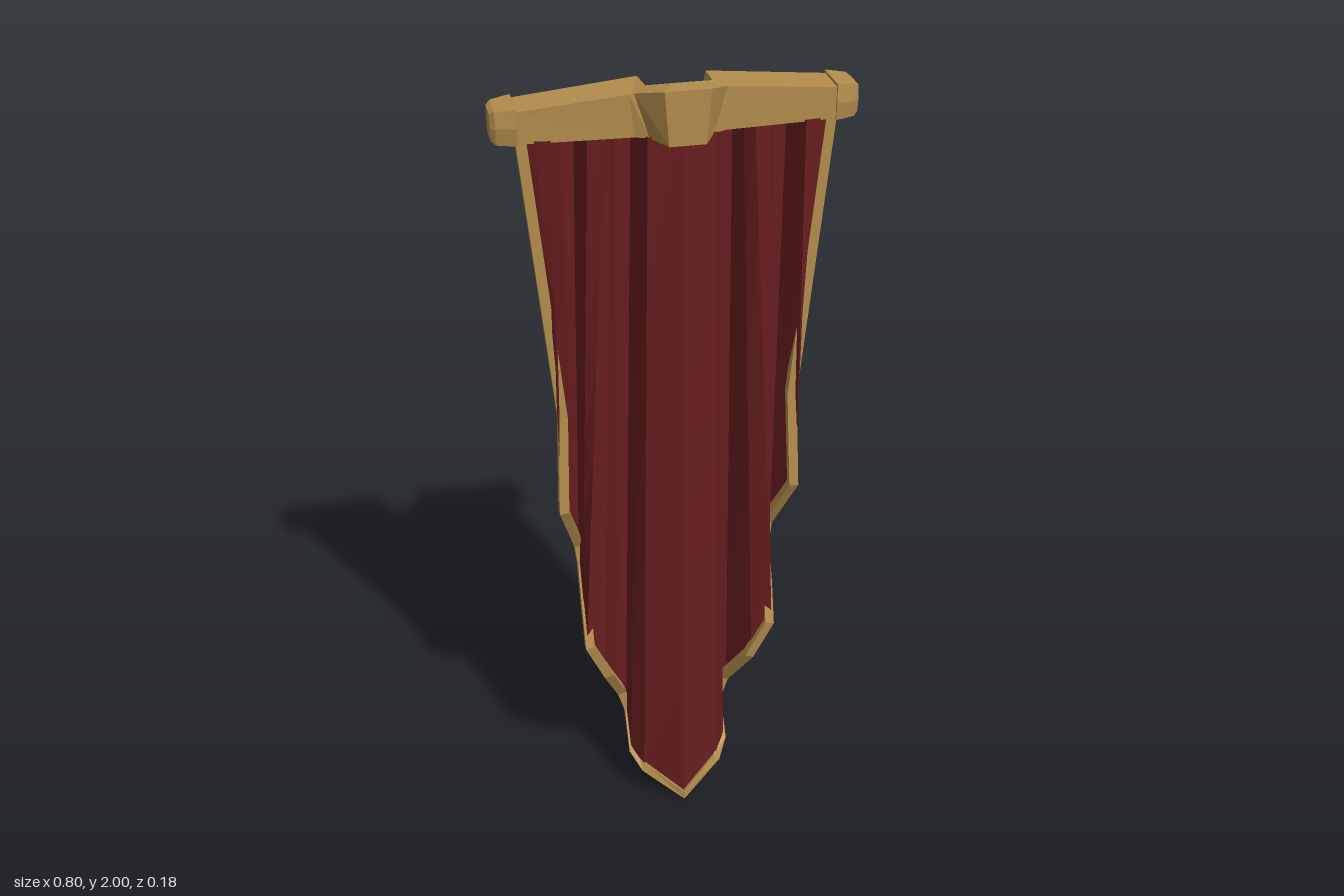
import * as THREE from 'three';

const V = (x, y, z) => new THREE.Vector3(x, y, z);

function meshFrom(name, points, material) {
  const g = new THREE.BufferGeometry().setFromPoints(points);
  g.computeVertexNormals(); // unshared corners give flat facets
  const m = new THREE.Mesh(g, material);
  m.name = name;
  return m;
}

// Solid through rings of equal corner count, closed at both ends
function loft(name, rings, material) {
  const p = [], n = rings[0].length;
  for (let i = 0; i < rings.length - 1; i++) {
    for (let j = 0; j < n; j++) {
      const k = (j + 1) % n;
      const a = rings[i][j], b = rings[i][k], c = rings[i + 1][k], d = rings[i + 1][j];
      p.push(a, b, c, a, c, d);
    }
  }
  const s = rings[0], e = rings[rings.length - 1];
  for (let j = 1; j < n - 1; j++) p.push(s[0], s[j + 1], s[j], e[0], e[j], e[j + 1]);
  return meshFrom(name, p, material);
}

const mirrorX = (v) => V(-v.x, v.y, v.z);
const TOP = 1.885;

// Pleat lines of one half: top x, top z, then hem point x, y, z
const PLEATS = [
  [0, 0.046, 0, 0.008, 0.058],
  [0.075, 0.036, 0.1, 0.09, 0.018],
  [0.085, 0, 0.128, 0.125, -0.02],
  [0.095, -0.05, 0.128, 0.22, -0.08],
  [0.13, -0.05, 0.148, 0.29, -0.078],
  [0.145, -0.01, 0.195, 0.42, 0],
  [0.165, 0.014, 0.242, 0.53, 0.014],
  [0.2, 0.012, 0.243, 0.63, -0.018],
  [0.22, -0.045, 0.243, 0.74, -0.06],
  [0.25, -0.045, 0.25, 0.8, -0.06],
  [0.278, 0.012, 0.292, 0.95, 0.01],
  [0.31, 0.008, 0.283, 1.2, -0.008],
  [0.346, -0.01, 0.346, TOP, -0.01],
];

export function createModel() {
  const gold = new THREE.MeshStandardMaterial({ color: 0xb48d4d });
  gold.name = 'gold';
  const red = new THREE.MeshStandardMaterial({ color: 0x681d1f, side: THREE.DoubleSide });
  red.name = 'dark red';

  const banner = new THREE.Group();
  banner.name = 'banner';

  // Pleated cloth, left hem to right hem
  const half = PLEATS.map(([tx, tz, x, y, z]) => ({ top: V(tx, TOP, tz), hem: V(x, y, z) }));
  const columns = [
    ...half.slice(1).reverse().map((c) => ({ top: mirrorX(c.top), hem: mirrorX(c.hem) })),
    ...half,
  ];
  const ROWS = 5, cloth = [];
  const at = (i, r) => columns[i].hem.clone().lerp(columns[i].top, r / ROWS);
  for (let i = 0; i < columns.length - 1; i++) {
    for (let r = 0; r < ROWS; r++) {
      const a = at(i, r), b = at(i + 1, r), c = at(i + 1, r + 1), d = at(i, r + 1);
      cloth.push(a, b, c, a, c, d);
    }
  }
  banner.add(meshFrom('cloth', cloth, red));

  // Square trim following the hem
  const hem = columns.map((c) => c.hem);
  const trimRings = hem.map((p, i) => {
    const prev = hem[Math.max(i - 1, 0)], next = hem[Math.min(i + 1, hem.length - 1)];
    const t = next.clone().sub(prev).normalize();
    const n = V(-t.y, t.x, 0).normalize();
    const b = t.clone().cross(n).normalize();
    const corner = (u, w) => p.clone().addScaledVector(n, u).addScaledVector(b, w);
    return [corner(-0.004, -0.011), corner(0.019, -0.011), corner(0.019, 0.011), corner(-0.004, 0.011)];
  });
  banner.add(loft('hemTrim', trimRings, gold));

  // Crossbar with a bent centre that leaves a notch behind it
  const stations = [
    [V(0.025, 2, 0.04), V(0.05, 2, 0.09), V(0.04, 1.88, 0.088), V(0.025, 1.88, 0.012)],
    [V(0.072, 1.985, 0), V(0.1, 1.977, 0.02), V(0.07, 1.88, 0.03), V(0.052, 1.88, -0.01)],
    [V(0.075, 1.98, -0.075), V(0.11, 1.975, 0.02), V(0.1, 1.88, 0.018), V(0.055, 1.88, -0.072)],
    [V(0.35, 1.95, -0.085), V(0.35, 1.95, 0.005), V(0.35, 1.88, 0.005), V(0.35, 1.88, -0.085)],
  ];
  const mirrored = stations.map((ring) => ring.map(mirrorX)).reverse();
  banner.add(loft('crossbar', [...mirrored, ...stations], gold));

  // Bevelled end caps, slightly ridged at mid height
  const capRing = (x, y0, y1, z0, z1) => {
    const ym = (y0 + y1) / 2, r = 0.005;
    return [V(x, y1, z0 + r), V(x, y1, z1 - r), V(x, ym, z1), V(x, y0, z1 - r), V(x, y0, z0 + r), V(x, ym, z0)];
  };
  const cap = [
    capRing(0.346, 1.877, 1.957, -0.093, 0.013),
    capRing(0.39, 1.879, 1.952, -0.083, 0.002),
    capRing(0.4, 1.886, 1.945, -0.073, -0.008),
  ];
  banner.add(loft('leftEndCap', cap, gold));
  // Mirrored rings run towards -x, so their corners are reversed
  banner.add(loft('rightEndCap', cap.map((ring) => ring.map(mirrorX).reverse()), gold));

  return banner;
}
